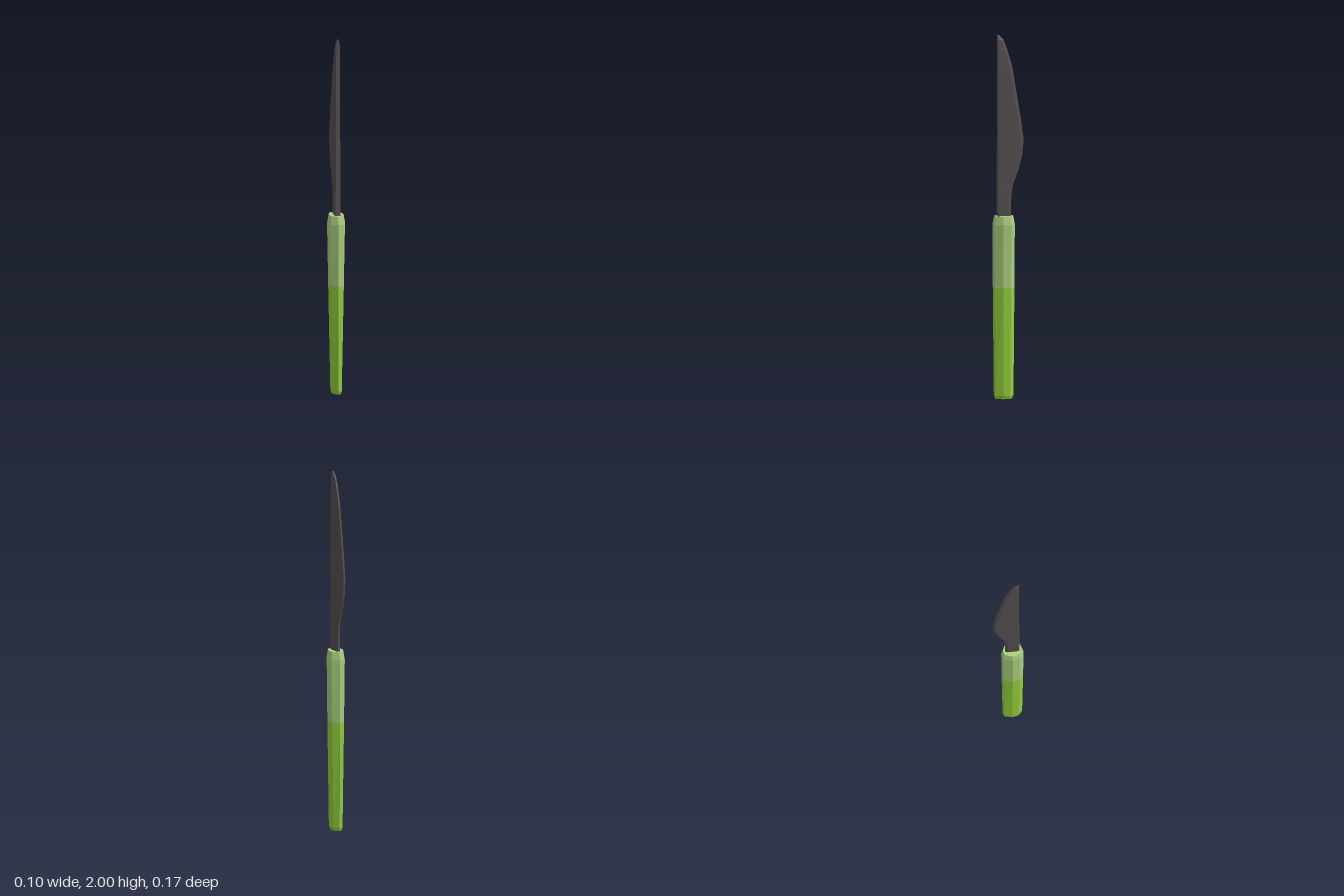
import * as THREE from 'three';

const material = (name, color) => {
  const m = new THREE.MeshStandardMaterial({ color, flatShading: true });
  m.name = name;
  return m;
};

// Skin equal-sized rings of [x, y, z], listed bottom to top, with optional end caps
function loft(rings, capBottom, capTop) {
  const n = rings[0].length, last = (rings.length - 1) * n, index = [];
  for (let i = 0; i < rings.length - 1; i++) {
    for (let j = 0; j < n; j++) {
      const a = i * n + j, b = i * n + (j + 1) % n;
      index.push(a, b, b + n, a, b + n, a + n);
    }
  }
  for (let j = 1; j < n - 1; j++) {
    if (capBottom) index.push(0, j + 1, j);
    if (capTop) index.push(last, last + j, last + j + 1);
  }
  const geometry = new THREE.BufferGeometry();
  geometry.setAttribute('position', new THREE.Float32BufferAttribute(rings.flat(2), 3));
  geometry.setIndex(index);
  const flat = geometry.toNonIndexed();
  flat.computeVertexNormals();
  return flat;
}

export function createModel() {
  const group = new THREE.Group();
  const add = (name, geometry, mat) => {
    const mesh = new THREE.Mesh(geometry, mat);
    mesh.name = name;
    group.add(mesh);
  };
  const green = material('bright green', 0x93cf3c);
  const paleGreen = material('pale green', 0xacd07e);
  const steel = material('dark steel', 0x575050);

  // Uneven eight-sided handle section, [x, z]
  const section = [
    [0.003, -0.037], [-0.028, -0.032], [-0.05, 0.018], [-0.043, 0.06],
    [-0.006, 0.085], [0.028, 0.077], [0.048, 0.032], [0.044, -0.012],
  ];
  const midZ = 0.024;
  const handleRing = (y, sx, sz) => section.map(([x, z]) => [x * sx, y, midZ + (z - midZ) * sz]);

  // Lower grip, tapering to a small bevel at the butt
  add('lowerGrip', loft([
    handleRing(0, 0.52, 0.75), handleRing(0.018, 0.63, 0.88), handleRing(0.61, 0.87, 0.97),
  ], true, false), green);

  // Upper grip with a bevelled shoulder
  add('upperGrip', loft([
    handleRing(0.61, 0.87, 0.97), handleRing(0.96, 1, 1), handleRing(1.005, 0.84, 0.86),
  ], false, true), paleGreen);

  // Blade levels: [height, cutting edge z, half thickness]
  const levels = [
    [0.98, -0.016, 0.016], [1.11, -0.017, 0.016], [1.17, -0.025, 0.0155], [1.26, -0.057, 0.015],
    [1.34, -0.078, 0.015], [1.42, -0.085, 0.0145], [1.55, -0.068, 0.014], [1.7, -0.043, 0.0135],
    [1.82, -0.024, 0.013], [1.914, 0.003, 0.0125], [1.97, 0.024, 0.011], [1.99, 0.042, 0.007],
  ];
  const bladeRing = ([y, edge, t]) => {
    const bevel = Math.min(0.014, (0.06 - edge) * 0.3);
    const left = [[t * 0.35, edge], [t * 0.75, edge + bevel], [t, 0.052], [t * 0.85, 0.06]];
    const right = left.map(([x, z]) => [-x, z]);
    return [...right, ...left.reverse()].map(([x, z]) => [x, y, z]);
  };
  const rings = levels.map(bladeRing);
  // Narrow tip rising to the spine
  rings.push(rings.at(-1).map(([x, , z]) => [x * 0.7, 2, 0.06 - (0.06 - z) * 0.35]));
  add('blade', loft(rings, true, true), steel);

  return group;
}
